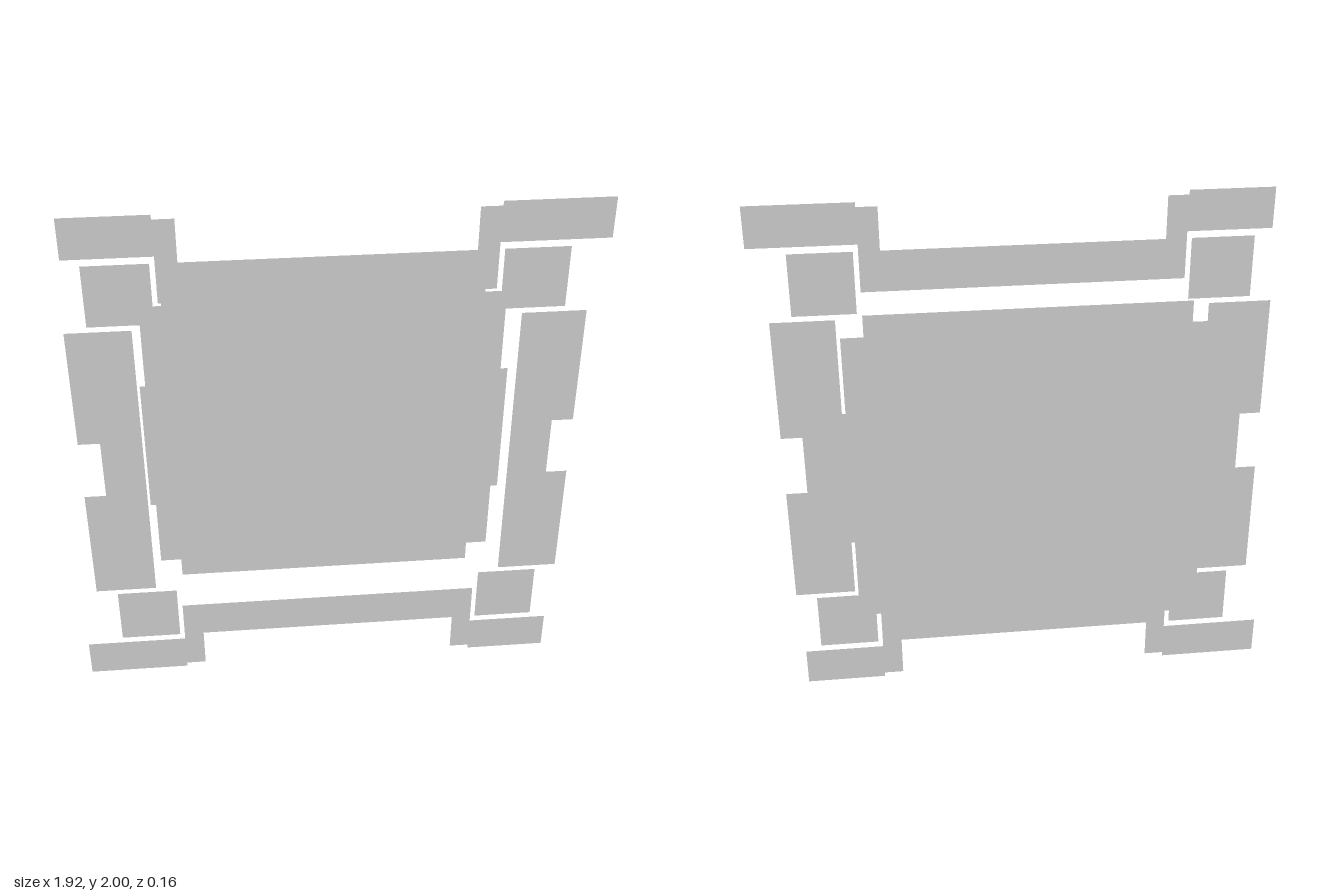
import * as THREE from 'three';

const material = new THREE.MeshStandardMaterial({ color: 0xcccccc, side: THREE.DoubleSide, flatShading: true });
const FRONT = 0.082, GRIP = -0.049, BACK = -0.082;

// Flat sheet from an outline centred on the middle of the model
function sheet(name, outline, z, turn = 0) {
  const shape = new THREE.Shape(outline.map(([x, y]) => new THREE.Vector2(x, y)));
  const mesh = new THREE.Mesh(new THREE.ShapeGeometry(shape), material);
  mesh.name = name;
  mesh.position.set(0, 1, z);
  mesh.rotation.z = turn;
  return mesh;
}

const rect = (x0, y0, x1, y1) => [[x0, y0], [x1, y0], [x1, y1], [x0, y1]];

export function createModel() {
  const group = new THREE.Group();
  group.name = 'layeredPanel';

  // Back panel with stepped corners
  group.add(sheet('backPanel', [
    [-0.575, -0.655], [0.575, -0.655], [0.575, -0.575], [0.655, -0.575],
    [0.655, 0.575], [0.575, 0.575], [0.575, 0.655], [-0.575, 0.655],
    [-0.575, 0.575], [-0.655, 0.575], [-0.655, -0.575], [-0.575, -0.575],
  ], BACK));

  // Rail with one long and one short arm
  const rail = [
    [-0.577, 0.675], [0.577, 0.675], [0.577, 0.85], [0.96, 0.85], [0.96, 1],
    [0.577, 1], [0.577, 0.983], [0.502, 0.983], [0.502, 0.825],
    [-0.502, 0.825], [-0.502, 0.983], [-0.577, 0.983], [-0.577, 1],
    [-0.885, 1], [-0.885, 0.85], [-0.577, 0.85],
  ];
  // Side strip with a notch in its outer edge
  const strip = [
    [0.673, -0.575], [0.902, -0.575], [0.902, -0.117], [0.823, -0.117],
    [0.823, 0.117], [0.902, 0.117], [0.902, 0.575], [0.673, 0.575],
  ];

  // Each part repeats after a half turn
  for (const [turn, side, end] of [[0, 'left', 'top'], [Math.PI, 'right', 'bottom']]) {
    group.add(
      sheet(`${end}Rail`, rail, FRONT, turn),
      sheet(`${side}Strip`, strip, FRONT, turn),
      sheet(`${side}Grip`, rect(0.535, -0.267, 0.673, 0.27), GRIP, turn),
      sheet(`${end}CornerBlockA`, rect(0.595, 0.595, 0.823, 0.825), FRONT, turn),
      sheet(`${end}CornerBlockB`, rect(-0.823, 0.595, -0.595, 0.825), FRONT, turn),
    );
  }
  return group;
}
